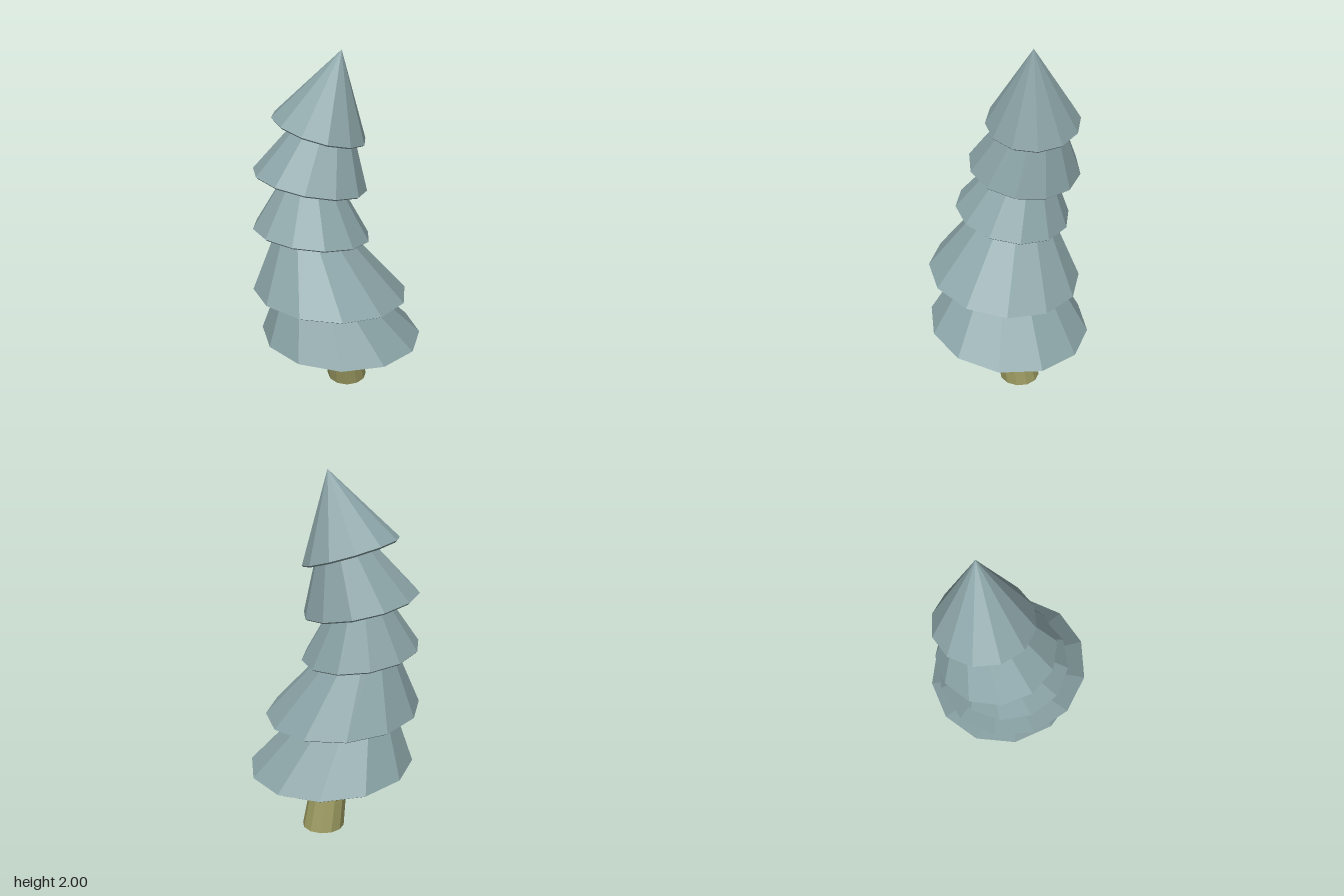
import * as THREE from 'three';

const SIDES = 12;

// Ring of points around a centre, tilted by the slopes dy/dx and dy/dz
function ring([cx, cy, cz], r, tiltX = 0, tiltZ = 0, phase = 0) {
  return Array.from({ length: SIDES }, (_, i) => {
    const a = THREE.MathUtils.degToRad(phase) + (i / SIDES) * Math.PI * 2;
    const x = r * Math.cos(a), z = r * Math.sin(a);
    return new THREE.Vector3(cx + x, cy + x * tiltX + z * tiltZ, cz + z);
  });
}

// Flat-faced skin through a series of rings
function loft(rings) {
  const pts = [];
  for (let j = 0; j < rings.length - 1; j++) {
    for (let i = 0; i < SIDES; i++) {
      const k = (i + 1) % SIDES;
      const a = rings[j][i], b = rings[j][k], c = rings[j + 1][k], d = rings[j + 1][i];
      pts.push(a, d, b, b, d, c);
    }
  }
  const geo = new THREE.BufferGeometry().setFromPoints(pts);
  geo.computeVertexNormals();
  return geo;
}

export function createModel() {
  const foliage = new THREE.MeshStandardMaterial({ color: 0x8aa3a6 });
  foliage.name = 'blueGreenFoliage';
  const bark = new THREE.MeshStandardMaterial({ color: 0x98965e });
  bark.name = 'oliveBark';

  const tree = new THREE.Group();
  tree.name = 'tree';
  const add = (name, geo, mat) => {
    const mesh = new THREE.Mesh(geo, mat);
    mesh.name = name;
    tree.add(mesh);
  };

  // Crooked trunk, closed at both ends
  const spine = [
    [[0.007, 0, -0.088], 0], [[0.007, 0, -0.088], 0.119],
    [[0.012, 0.43, 0.018], 0.092], [[-0.07, 0.8, 0.03], 0.06],
    [[-0.15, 1.15, 0.02], 0.05], [[-0.13, 1.6, -0.06], 0.035], [[-0.13, 1.6, -0.06], 0],
  ];
  add('trunk', loft(spine.map(([c, r]) => ring(c, r))), bark);

  // Hollow leaning skirts: rim centre, radius, tilts, phase, apex, share of the cone kept
  const tiers = [
    { c: [0.01, 0.377, -0.01], r: 0.466, tx: 0.012, tz: 0.1, phase: 0, apex: [-0.17, 1.06, 0.13], keep: 0.75 },
    { c: [-0.027, 0.685, 0.05], r: 0.436, tx: 0.005, tz: 0.125, phase: 21, apex: [-0.235, 1.32, 0.06], keep: 0.75 },
    { c: [-0.133, 1.033, 0.07], r: 0.325, tx: -0.03, tz: 0.18, phase: 16, apex: [-0.195, 1.56, -0.03], keep: 0.75 },
    { c: [-0.17, 1.312, 0.018], r: 0.311, tx: -0.12, tz: 0.19, phase: 3, apex: [-0.09, 1.87, -0.16], keep: 0.72 },
    { c: [-0.15, 1.588, -0.049], r: 0.254, tx: -0.24, tz: 0.16, phase: 19, apex: [-0.05, 2, -0.115], keep: 1 },
  ];
  tiers.forEach(({ c, r, tx, tz, phase, apex, keep }, i) => {
    const tip = new THREE.Vector3(...apex);
    const hollowTip = new THREE.Vector3(...c).lerp(tip, 0.6);
    const narrow = (pts, to, share) => pts.map((p) => p.clone().lerp(to, share));
    const outer = ring(c, r, tx, tz, phase);
    const inner = ring([c[0], c[1] - 0.009, c[2]], r * 0.97, tx, tz, phase);
    add(`branchTier${i + 1}`, loft([narrow(inner, hollowTip, 1), inner, outer, narrow(outer, tip, keep)]), foliage);
  });

  return tree;
}
